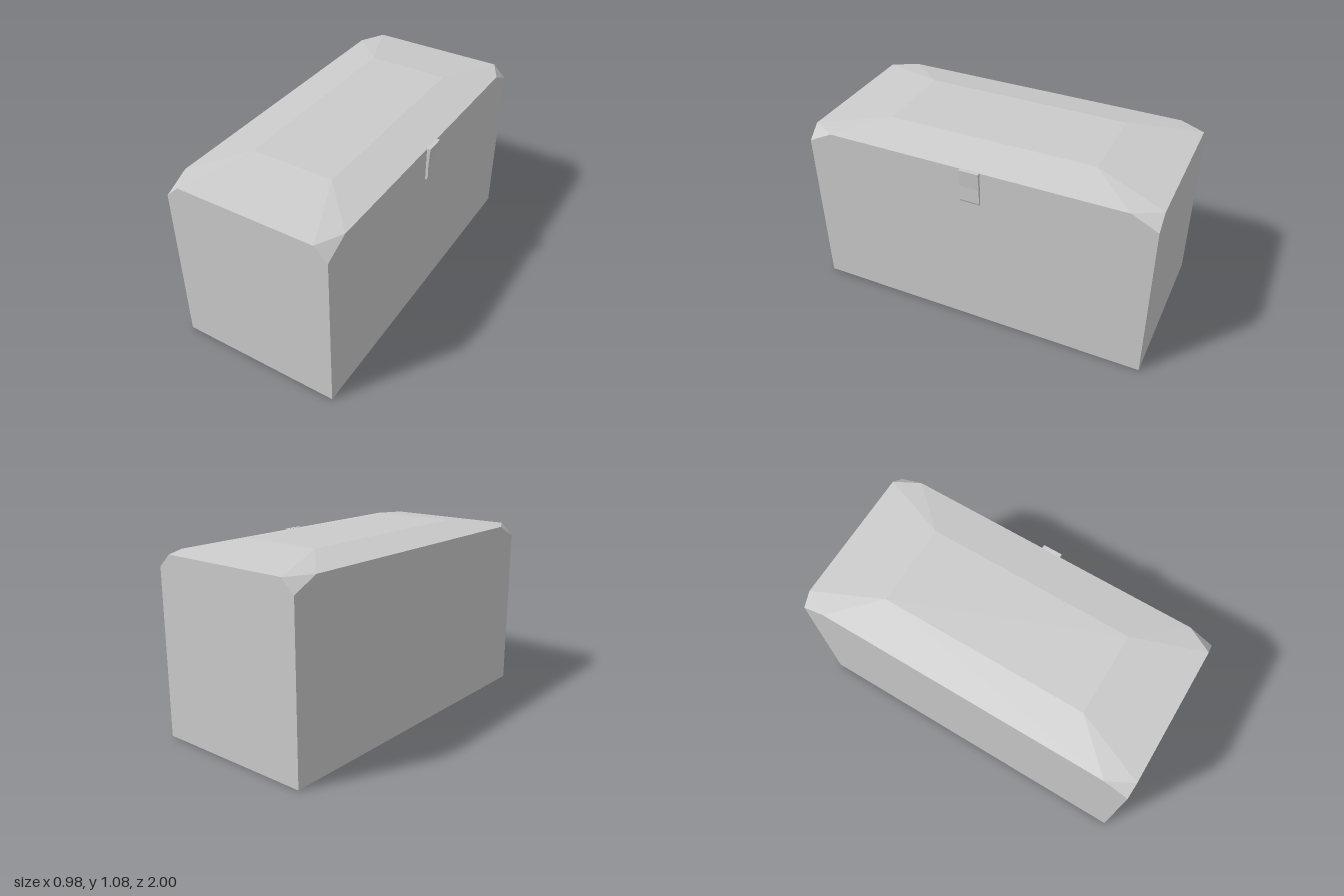
import * as THREE from 'three';
import { ConvexGeometry } from 'three/addons/geometries/ConvexGeometry.js';

const CX = -0.0125; // the latch on +x shifts the chest slightly left
const HALF_W = 0.4775, HALF_L = 1;
const BODY_H = 0.955, RIM_Y = 1.028, TOP_Y = 1.077;

const material = new THREE.MeshStandardMaterial({ color: 0xcccccc });

function part(name, geometry) {
  const mesh = new THREE.Mesh(geometry, material);
  mesh.name = name;
  return mesh;
}

// Faceted lid: full rectangle, rim with clipped corners, smaller flat top
function lidGeometry() {
  const points = [];
  for (const sx of [-1, 1]) {
    for (const sz of [-1, 1]) {
      const add = (x, y, z) => points.push(new THREE.Vector3(sx * x, y, sz * z));
      add(HALF_W, BODY_H, HALF_L);
      add(HALF_W - 0.077, RIM_Y, HALF_L);
      add(HALF_W, RIM_Y, HALF_L - 0.145);
      add(0.24, TOP_Y, 0.6);
    }
  }
  return new ConvexGeometry(points);
}

// Thin hanging latch: side profile extruded across its width
function latchGeometry() {
  const width = 0.112;
  const profile = new THREE.Shape([
    [0.46, 0.835], [0.476, 0.835], [0.48, 0.845], [0.479, 0.93],
    [0.484, 1.012], [0.485, 1.03], [0.46, 1.03],
  ].map(([x, y]) => new THREE.Vector2(x, y)));
  const geometry = new THREE.ExtrudeGeometry(profile, { depth: width, bevelEnabled: false });
  return geometry.translate(0, 0, -width / 2);
}

export function createModel() {
  const group = new THREE.Group();
  group.name = 'chest';

  const body = part('body', new THREE.BoxGeometry(HALF_W * 2, BODY_H, HALF_L * 2));
  body.position.set(CX, BODY_H / 2, 0);

  const lid = part('lid', lidGeometry());
  lid.position.x = CX;

  group.add(body, lid, part('latch', latchGeometry()));
  return group;
}
